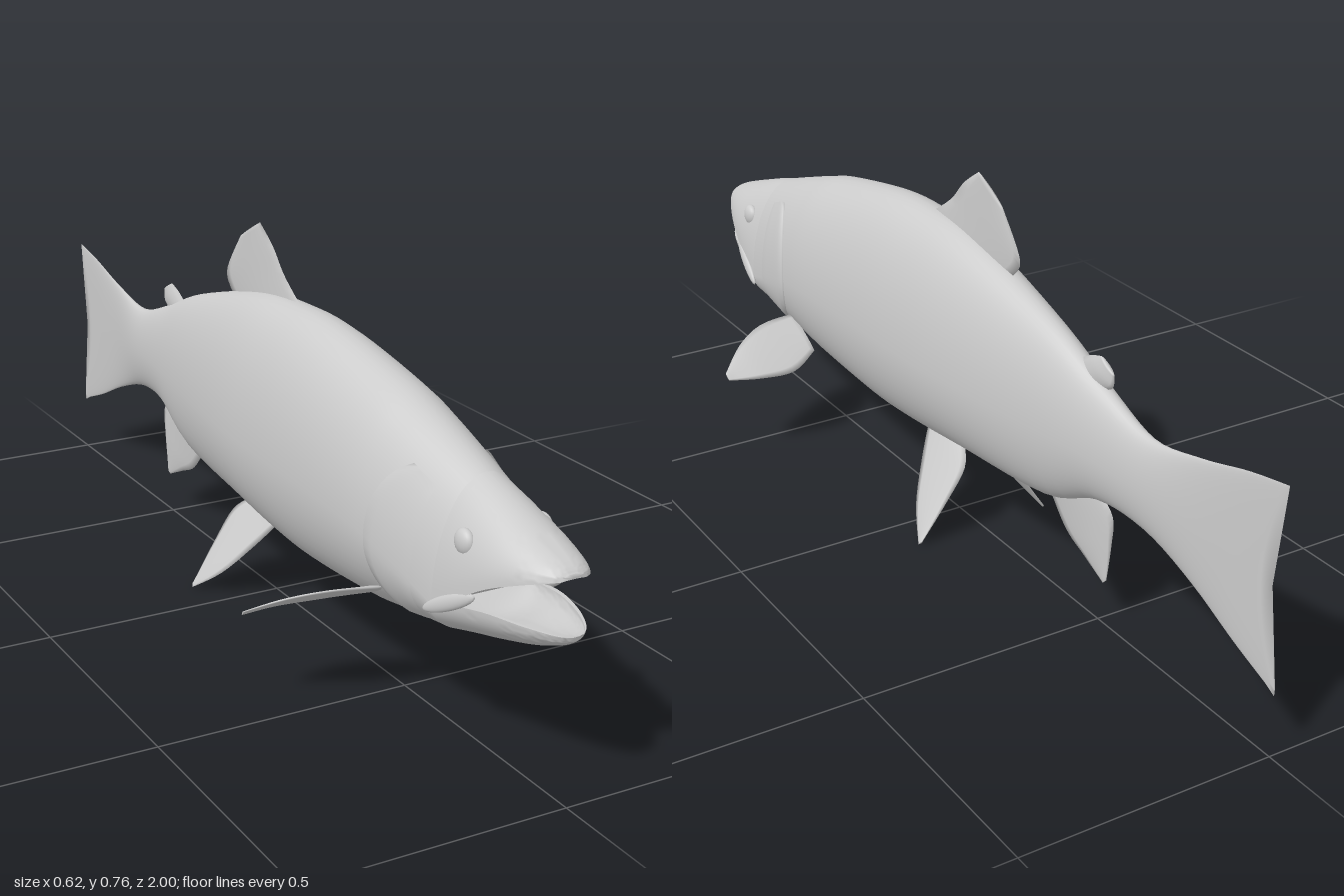
import * as THREE from 'three';
import { toCreasedNormals } from 'three/addons/utils/BufferGeometryUtils.js';

const solid = new THREE.MeshStandardMaterial({ color: 0xcccccc });
const thin = new THREE.MeshStandardMaterial({ color: 0xcccccc, side: THREE.DoubleSide });

// Smoothly subdivide a table of rows (Catmull-Rom on every column)
function smooth(rows, steps) {
  const out = [];
  const at = i => rows[Math.min(Math.max(i, 0), rows.length - 1)];
  for (let i = 0; i < rows.length - 1; i++) {
    for (let s = 0; s < steps; s++) {
      const t = s / steps;
      out.push(rows[i].map((_, c) => {
        const a = at(i - 1)[c], b = at(i)[c], d = at(i + 1)[c], e = at(i + 2)[c];
        return b + 0.5 * t * (d - a + t * (2 * a - 5 * b + 4 * d - e + t * (3 * (b - d) + e - a)));
      }));
    }
  }
  out.push(rows[rows.length - 1]);
  return out;
}

// Skin a list of rings (front to back, counter-clockwise seen from the front)
function loft(rings, { capStart = false, capEnd = false, closed = true } = {}) {
  const n = rings[0].length, pos = [], idx = [];
  rings.forEach(r => r.forEach(p => pos.push(p[0], p[1], p[2])));
  const last = rings.length - 1;
  for (let i = 0; i < last; i++) {
    for (let j = 0; j < (closed ? n : n - 1); j++) {
      const k = (j + 1) % n, a = i * n + j, b = i * n + k;
      idx.push(a, a + n, b, b, a + n, b + n);
    }
  }
  const cap = (row, flip) => {
    const c = pos.length / 3;
    pos.push(...[0, 1, 2].map(d => rings[row].reduce((s, p) => s + p[d], 0) / n));
    for (let j = 0; j < n; j++) {
      const a = row * n + j, b = row * n + (j + 1) % n;
      if (flip) idx.push(c, b, a); else idx.push(c, a, b);
    }
  };
  if (capStart) cap(0, false);
  if (capEnd) cap(last, true);
  const g = new THREE.BufferGeometry();
  g.setAttribute('position', new THREE.Float32BufferAttribute(pos, 3));
  g.setIndex(idx);
  g.computeVertexNormals();
  return g;
}

function add(parent, name, geometry, material = solid) {
  const m = new THREE.Mesh(geometry, material);
  m.name = name;
  parent.add(m);
  return m;
}

// Body profile, head to tail: z, top, bottom, half width, height of widest line
const BODY = smooth([
  [0.74, 0.503, 0.22, 0.104, 0.285],
  [0.66, 0.53, 0.203, 0.112, 0.31],
  [0.56, 0.562, 0.185, 0.12, 0.338],
  [0.46, 0.59, 0.17, 0.125, 0.352],
  [0.25, 0.628, 0.155, 0.124, 0.36],
  [0.1, 0.635, 0.16, 0.119, 0.36],
  [-0.07, 0.62, 0.175, 0.107, 0.36],
  [-0.34, 0.55, 0.195, 0.07, 0.36],
  [-0.5, 0.487, 0.258, 0.046, 0.36],
  [-0.64, 0.445, 0.262, 0.028, 0.35],
  [-0.77, 0.468, 0.22, 0.012, 0.34],
  [-0.87, 0.5, 0.165, 0.006, 0.335],
  [-0.95, 0.518, 0.125, 0.003, 0.33],
], 5);

function bodyPoint([z, top, bottom, w, mid], a, grow = 0) {
  const s = Math.sin(a);
  const y = mid + s * ((s > 0 ? top - mid : mid - bottom) + grow);
  // sweep the tail tips backwards
  const sweep = THREE.MathUtils.smoothstep(-z, 0.64, 0.95) * 0.05 * ((y - 0.33) / 0.19) ** 2;
  return [Math.cos(a) * (w + grow), y, z - Math.min(sweep, 0.05)];
}

function bodyRowAt(z) {
  const i = Math.max(1, BODY.findIndex(r => r[0] <= z));
  const a = BODY[i - 1], b = BODY[i], t = (a[0] - z) / (a[0] - b[0]);
  return a.map((v, c) => v + (b[c] - v) * t);
}

// Jaw half: rows of z, outer height, half width, lip height, hollow depth
function jaw(rows, dir) {
  const n = 24;
  const rings = smooth(rows, 5).map(([z, edge, w, lip, hollow]) => {
    const ring = [];
    for (let j = 0; j <= n; j++) {
      const a = Math.PI * j / n;
      ring.push([dir * w * Math.cos(a), lip + (edge - lip) * Math.sin(a), z]);
    }
    for (let j = n; j >= 0; j--) {
      const a = Math.PI * j / n;
      ring.push([dir * w * 0.9 * Math.cos(a), lip + dir * hollow * Math.sin(a), z]);
    }
    return ring;
  });
  return toCreasedNormals(loft(rings, { capStart: true }), 0.9);
}

// Fin: rows from root to tip of leading point, trailing point, half thickness
function fin(rows, normal) {
  const n = 10, nv = new THREE.Vector3(...normal).normalize().toArray();
  const rings = smooth(rows.map(r => r.flat()), 5).map(r => {
    const point = (k, side) => [0, 1, 2].map(d => r[d] + (r[d + 3] - r[d]) * k / n
      + side * nv[d] * r[6] * Math.sin(Math.PI * k / n) ** 0.7);
    const ring = [];
    for (let k = 0; k <= n; k++) ring.push(point(k, 1));
    for (let k = n - 1; k > 0; k--) ring.push(point(k, -1));
    return ring;
  });
  return loft(rings, { capStart: true, capEnd: true });
}

// Fin lying in the middle plane, rows of lead z, lead y, trail z, trail y, thickness
const middleFin = rows => fin(rows.map(([a, b, c, d, t]) => [[0, b, a], [0, d, c], t]), [1, 0, 0]);

export function createModel() {
  const fish = new THREE.Group();
  fish.name = 'fish';

  // Body and tail fin in one skin
  const N = 48;
  add(fish, 'bodyAndTail', loft(BODY.map(row =>
    Array.from({ length: N }, (_, j) => bodyPoint(row, 2 * Math.PI * j / N))), { capEnd: true }));

  // Open mouth
  add(fish, 'upperHead', jaw([
    [0.988, 0.413, 0.024, 0.403, 0.001],
    [0.97, 0.425, 0.046, 0.398, 0.006],
    [0.93, 0.44, 0.067, 0.384, 0.02],
    [0.87, 0.461, 0.087, 0.358, 0.045],
    [0.8, 0.485, 0.099, 0.316, 0.06],
    [0.74, 0.503, 0.104, 0.285, 0],
  ], 1));
  add(fish, 'lowerJaw', jaw([
    [1.0, 0.302, 0.016, 0.311, 0.002],
    [0.98, 0.288, 0.036, 0.313, 0.012],
    [0.93, 0.268, 0.06, 0.314, 0.026],
    [0.86, 0.248, 0.08, 0.312, 0.035],
    [0.79, 0.232, 0.095, 0.3, 0.035],
    [0.74, 0.22, 0.104, 0.285, 0],
  ], -1));

  // Fins on the middle line
  add(fish, 'dorsalFin', middleFin([
    [0.13, 0.61, -0.16, 0.575, 0.007],
    [0.035, 0.672, -0.2, 0.597, 0.006],
    [-0.015, 0.722, -0.215, 0.635, 0.005],
    [-0.07, 0.76, -0.155, 0.715, 0.003],
  ]), thin);
  add(fish, 'adiposeFin', middleFin([
    [-0.41, 0.505, -0.49, 0.475, 0.01],
    [-0.45, 0.528, -0.522, 0.492, 0.009],
    [-0.485, 0.54, -0.525, 0.518, 0.004],
  ]), thin);
  add(fish, 'analFin', middleFin([
    [-0.32, 0.215, -0.48, 0.28, 0.008],
    [-0.385, 0.145, -0.535, 0.24, 0.006],
    [-0.45, 0.115, -0.535, 0.18, 0.005],
    [-0.512, 0.088, -0.523, 0.1, 0.002],
  ]), thin);

  for (const [side, s] of [['left', 1], ['right', -1]]) {
    add(fish, side + 'PectoralFin', fin([
      [[s * 0.09, 0.25, 0.575], [s * 0.09, 0.2, 0.47], 0.006],
      [[s * 0.18, 0.252, 0.55], [s * 0.16, 0.182, 0.43], 0.005],
      [[s * 0.25, 0.235, 0.51], [s * 0.24, 0.185, 0.428], 0.004],
      [[s * 0.31, 0.202, 0.457], [s * 0.308, 0.19, 0.445], 0.002],
    ], [s * 0.1, 0.86, -0.5]), thin);

    // Pelvic fins splay outwards below the belly
    const px = y => s * (0.042 + (0.165 - y) * 0.67);
    add(fish, side + 'PelvicFin', fin([
      [0.07, 0.18, -0.06, 0.19, 0.006],
      [0.035, 0.125, -0.1, 0.155, 0.005],
      [-0.02, 0.055, -0.102, 0.09, 0.004],
      [-0.088, 0.004, -0.095, 0.012, 0.002],
    ].map(([a, b, c, d, t]) => [[px(b), b, a], [px(d), d, c], t]), [s * 0.83, 0.56, 0]), thin);

    // Gill cover: a plate lifting off the body towards its rounded rear edge
    const lift = [-0.003, 0.001, 0.002, 0.003, 0.004, 0.005, 0.004, -0.004];
    const rings = lift.map((g, i) => Array.from({ length: 19 }, (_, j) => {
      const a = -0.85 + 1.75 * j / 18;
      const rear = 0.55 + 0.08 * (a / 0.9) ** 2;
      const p = bodyPoint(bodyRowAt(0.7 + (rear - 0.7) * Math.min(i / 6, 1)), a, g);
      return [s * p[0], p[1], p[2]];
    }));
    add(fish, side + 'GillCover', loft(rings, { closed: false }), thin);

    const eye = add(fish, side + 'Eye', new THREE.SphereGeometry(0.024, 20, 14));
    eye.position.set(s * 0.077, 0.412, 0.795);
    eye.scale.set(0.6, 1, 1);

    // Lip plate along the upper jaw
    const lip = add(fish, side + 'LipPlate', new THREE.SphereGeometry(1, 20, 14));
    lip.position.set(s * 0.099, 0.304, 0.785);
    lip.rotation.set(-0.48, -s * 0.15, 0);
    lip.scale.set(0.008, 0.014, 0.07);
  }
  return fish;
}
